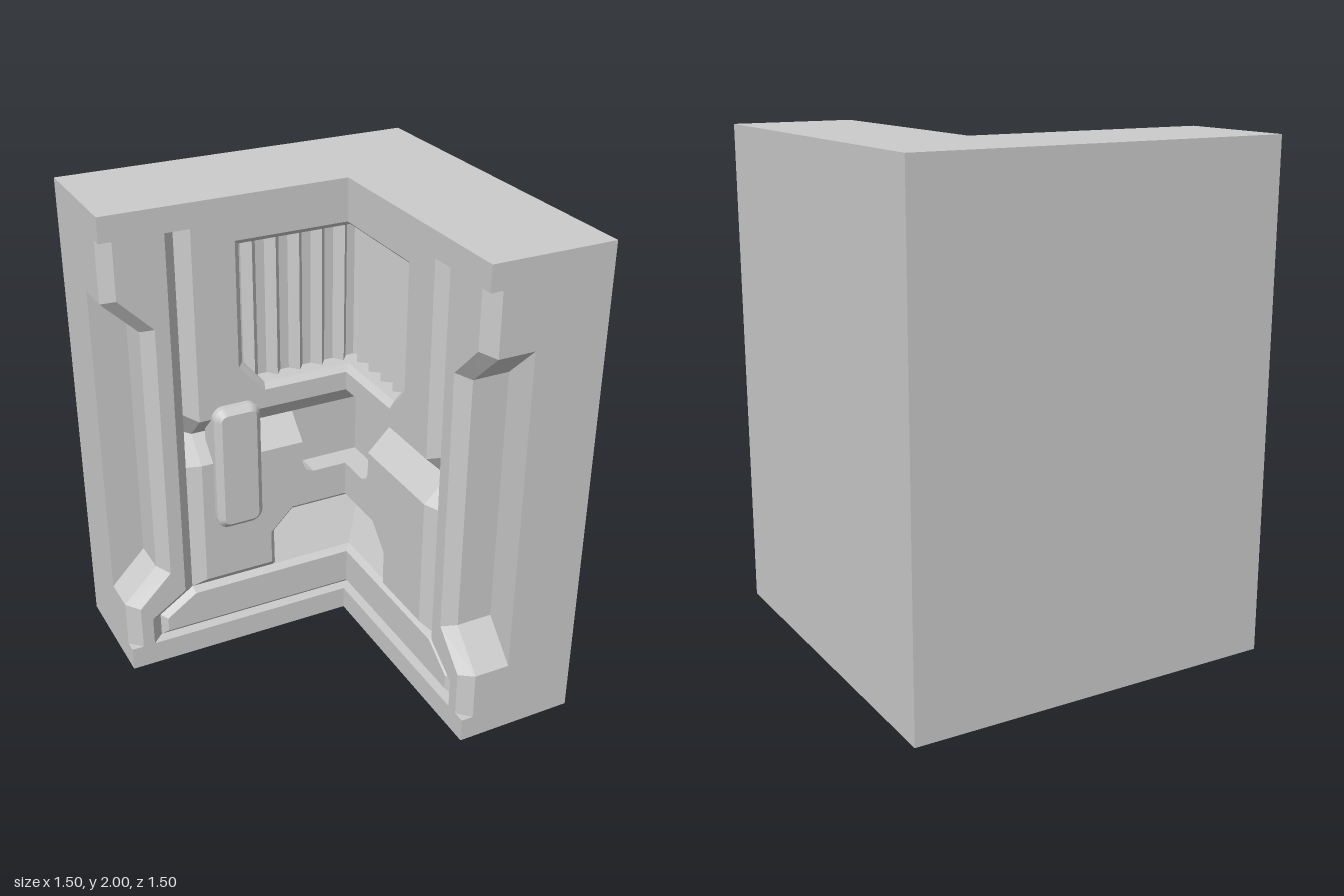
import * as THREE from 'three';

// Thin shell surfaces, hence double sided
const material = new THREE.MeshStandardMaterial({ color: 0xcccccc, flatShading: true, side: THREE.DoubleSide });
const FACE = -0.25; // z of the inner wall face; depths d are measured from it

function addMesh(group, name, positions) {
  const g = new THREE.BufferGeometry();
  g.setAttribute('position', new THREE.Float32BufferAttribute(positions, 3));
  g.computeVertexNormals();
  const mesh = new THREE.Mesh(g, material);
  mesh.name = name;
  group.add(mesh);
}

// Planar polygon: 2D outline, placed in space by a rule
function flat(group, name, outline, place) {
  const pts = outline.map(([a, b]) => new THREE.Vector2(a, b));
  const pos = [];
  for (const tri of THREE.ShapeUtils.triangulateShape(pts, []))
    for (const i of tri) pos.push(...place(pts[i].x, pts[i].y));
  addMesh(group, name, pos);
}
const atDepth = d => (x, y) => [x, y, FACE + d];

// Band of quads between two paths of [x, y, d] points
function band(group, name, a, b) {
  const pos = [];
  const put = p => pos.push(p[0], p[1], FACE + p[2]);
  for (let i = 0; i < a.length - 1; i++)
    [a[i], b[i], b[i + 1], a[i], b[i + 1], a[i + 1]].forEach(put);
  addMesh(group, name, pos);
}
const deep = (path, d) => path.map(([x, y]) => [x, y, d]);
const triangle = (group, name, p, q, r) => band(group, name, [p, p], [q, r]);

function createWall(name) {
  const w = new THREE.Group();
  w.name = name;

  // Outer shell: back, mitred top and bottom, stepped end
  flat(w, 'backFace', [[-0.75, 0], [0.75, 0], [0.75, 2], [-0.75, 2]], (x, y) => [x, y, -0.75]);
  const mitre = [[-0.75, -0.75], [0.75, -0.75], [0.25, -0.25], [-0.75, -0.25]];
  flat(w, 'topFace', mitre, (x, z) => [x, 2, z]);
  flat(w, 'bottomFace', mitre, (x, z) => [x, 0, z]);
  flat(w, 'endFace', [[-0.75, 0], [-0.25, 0], [-0.25, 0.1], [-0.3, 0.1], [-0.3, 0.3], [-0.45, 0.3],
    [-0.45, 1.65], [-0.3, 1.65], [-0.3, 1.9], [-0.25, 1.9], [-0.25, 2], [-0.75, 2]], (z, y) => [-0.75, y, z]);

  // Flat parts of the inner face
  const notchRim = [[-0.7, 1.9], [-0.7, 1.67], [-0.56, 1.53], [-0.56, 0.43], [-0.7, 0.29], [-0.7, 0.1]];
  flat(w, 'frameFace', [[-0.75, 0], [0.25, 0], [0.25, 0.1], [-0.65, 0.1], [-0.65, 0.225], [-0.5, 0.325],
    [-0.5, 1.9], [0.25, 1.9], [0.25, 2], [-0.75, 2], [-0.75, 1.9], ...notchRim, [-0.75, 0.1]], atDepth(0));
  const ventRim = [[0.25, 1.18], [-0.115, 1.18], [-0.225, 1.3], [-0.225, 1.825], [0.25, 1.825]];
  flat(w, 'upperPanel', [[-0.4, 1.1], [0.25, 1.1], ...ventRim, [0.25, 1.9], [-0.4, 1.9]], atDepth(0));
  const pocketRim = [[0.05, 0.9], [0.05, 0.8], [0.065, 0.765], [0.1, 0.75]];
  flat(w, 'lowerPanel', [[-0.4, 0.9], ...pocketRim, [0.25, 0.75], [0.25, 0.6], [0, 0.6],
    [-0.1, 0.5], [-0.1, 0.35], [-0.4, 0.35]], atDepth(0));

  // Deep notch along the free end
  const notchLow = [[-0.75, 1.9], [-0.75, 1.65], [-0.605, 1.51], [-0.605, 0.45], [-0.75, 0.3], [-0.75, 0.1]];
  const notchFloor = notchLow.slice(1, 5);
  band(w, 'notchBevel', deep(notchRim, 0), deep(notchLow, -0.05));
  band(w, 'notchWall', deep(notchFloor, -0.05), deep(notchFloor, -0.2));
  flat(w, 'notchFloor', notchFloor, atDepth(-0.2));
  for (const y of [0.1, 1.9])
    triangle(w, 'notchEnd', [-0.75, y, 0], [-0.7, y, 0], [-0.75, y, -0.05]);

  // Vertical groove, its right bevel following the cross groove
  band(w, 'grooveLeft', [[-0.5, 1.9, 0], [-0.5, 0.325, 0]], [[-0.45, 1.9, -0.05], [-0.45, 0.3, -0.05]]);
  band(w, 'grooveRight',
    [[-0.4, 0.35, 0], [-0.4, 0.9, 0], [-0.4, 1, -0.1], [-0.4, 1.1, 0], [-0.4, 1.9, 0]],
    [[-0.45, 0.3, -0.05], [-0.45, 0.88, -0.05], [-0.45, 1, -0.17], [-0.45, 1.12, -0.05], [-0.45, 1.9, -0.05]]);
  triangle(w, 'grooveTop', [-0.5, 1.9, 0], [-0.45, 1.9, -0.05], [-0.4, 1.9, 0]);

  // Horizontal cross groove with a pocket at the corner
  triangle(w, 'crossGrooveEnd', [-0.45, 0.88, -0.05], [-0.45, 1, -0.17], [-0.45, 1.12, -0.05]);
  band(w, 'crossGrooveUpper', [[-0.4, 1.1, 0], [0.35, 1.1, 0]], [[-0.4, 1, -0.1], [0.35, 1, -0.1]]);
  band(w, 'crossGrooveLower', [[-0.4, 0.9, 0], [0.05, 0.9, 0]], [[-0.4, 1, -0.1], [0.05, 1, -0.1]]);
  const pocket = [...pocketRim, [0.35, 0.75]];
  flat(w, 'pocketFloor', [[0.05, 1], ...pocket, [0.35, 1]], atDepth(-0.1));
  band(w, 'pocketWall', deep(pocket, 0), deep(pocket, -0.1));
  triangle(w, 'pocketSide', [0.05, 0.9, 0], [0.05, 1, -0.1], [0.05, 0.9, -0.1]);

  // Vent with ridged slats
  const ventOuter = [[0.35, 1.18], ...ventRim.slice(1, 4), [0.35, 1.825]];
  const ventInner = [[0.35, 1.203], [-0.105, 1.203], [-0.2, 1.31], [-0.2, 1.803], [0.35, 1.803]];
  band(w, 'ventBevel', deep(ventOuter, 0), deep(ventInner, -0.025));
  band(w, 'ventWall', deep(ventInner, -0.025), deep(ventInner, -0.1));
  const ridges = [];
  for (let i = 0; i < 6; i++) {
    const x = -0.2 + i * 0.1;
    ridges.push([x, -0.1], [x + 0.038, -0.1], [x + 0.07, -0.06]);
  }
  band(w, 'ventSlats', ridges.map(([x, d]) => [x, 1.2, d]), ridges.map(([x, d]) => [x, 1.805, d]));

  // Bottom recess with a raised plate inside
  band(w, 'recessBevelLeft', deep([[-0.65, 0.1], [-0.65, 0.225], [-0.5, 0.325]], 0),
    deep([[-0.6, 0.1], [-0.6, 0.2], [-0.45, 0.3]], -0.05));
  band(w, 'recessBevelTop', [[-0.4, 0.35, 0], [-0.1, 0.35, 0], [-0.075, 0.325, -0.025]],
    deep([[-0.45, 0.3], [-0.075, 0.3], [-0.075, 0.3]], -0.05));
  band(w, 'recessSill', deep([[-0.65, 0.1], [0.3, 0.1]], 0), deep([[-0.6, 0.1], [0.3, 0.1]], -0.05));
  const plate = [[0.35, 0.125], [-0.575, 0.125], [-0.575, 0.187], [-0.443, 0.277], [0.35, 0.277]];
  band(w, 'plateBevel', deep([[0.35, 0.1], [-0.6, 0.1], [-0.6, 0.2], [-0.45, 0.3], [0.35, 0.3]], -0.05), deep(plate, -0.025));
  flat(w, 'plateFace', plate, atDepth(-0.025));

  // Sloped alcove above the plate
  const slope = y => -0.05 - (y - 0.3) * 0.55;
  const alcove = [[0.45, 0.577], [0.01, 0.577], [-0.077, 0.49], [-0.075, 0.325]];
  band(w, 'alcoveBevel', deep([[0.45, 0.6], [0, 0.6], [-0.1, 0.5], [-0.1, 0.35]], 0), deep(alcove, -0.025));
  const rim = [...deep(alcove, -0.025), [-0.075, 0.3, -0.05]];
  band(w, 'alcoveWall', rim, rim.map(([x, y]) => [x, y, slope(y)]));
  flat(w, 'alcoveFloor', [...alcove, [-0.075, 0.3], [0.45, 0.3]], (x, y) => [x, y, FACE + slope(y)]);
  return w;
}

// Rounded, bevelled block bridging the cross groove
function createHandle() {
  const x0 = -0.35, x1 = -0.15, y0 = 0.6, y1 = 1.15, r = 0.05;
  const s = new THREE.Shape();
  s.absarc(x1 - r, y0 + r, r, -Math.PI / 2, 0);
  s.absarc(x1 - r, y1 - r, r, 0, Math.PI / 2);
  s.absarc(x0 + r, y1 - r, r, Math.PI / 2, Math.PI);
  s.absarc(x0 + r, y0 + r, r, Math.PI, Math.PI * 1.5);
  const g = new THREE.ExtrudeGeometry(s, {
    depth: 0.1, curveSegments: 4, bevelSegments: 1, bevelSize: 0.025, bevelThickness: 0.025, bevelOffset: -0.025,
  });
  g.translate(0, 0, FACE - 0.075);
  const handle = new THREE.Mesh(g, material);
  handle.name = 'handle';
  return handle;
}

export function createModel() {
  const model = new THREE.Group();
  model.name = 'wallCorner';
  const side = createWall('sideWall');
  // Mirror across the corner diagonal
  side.scale.x = -1;
  side.rotation.y = -Math.PI / 2;
  model.add(createWall('backWall'), side, createHandle());
  return model;
}
